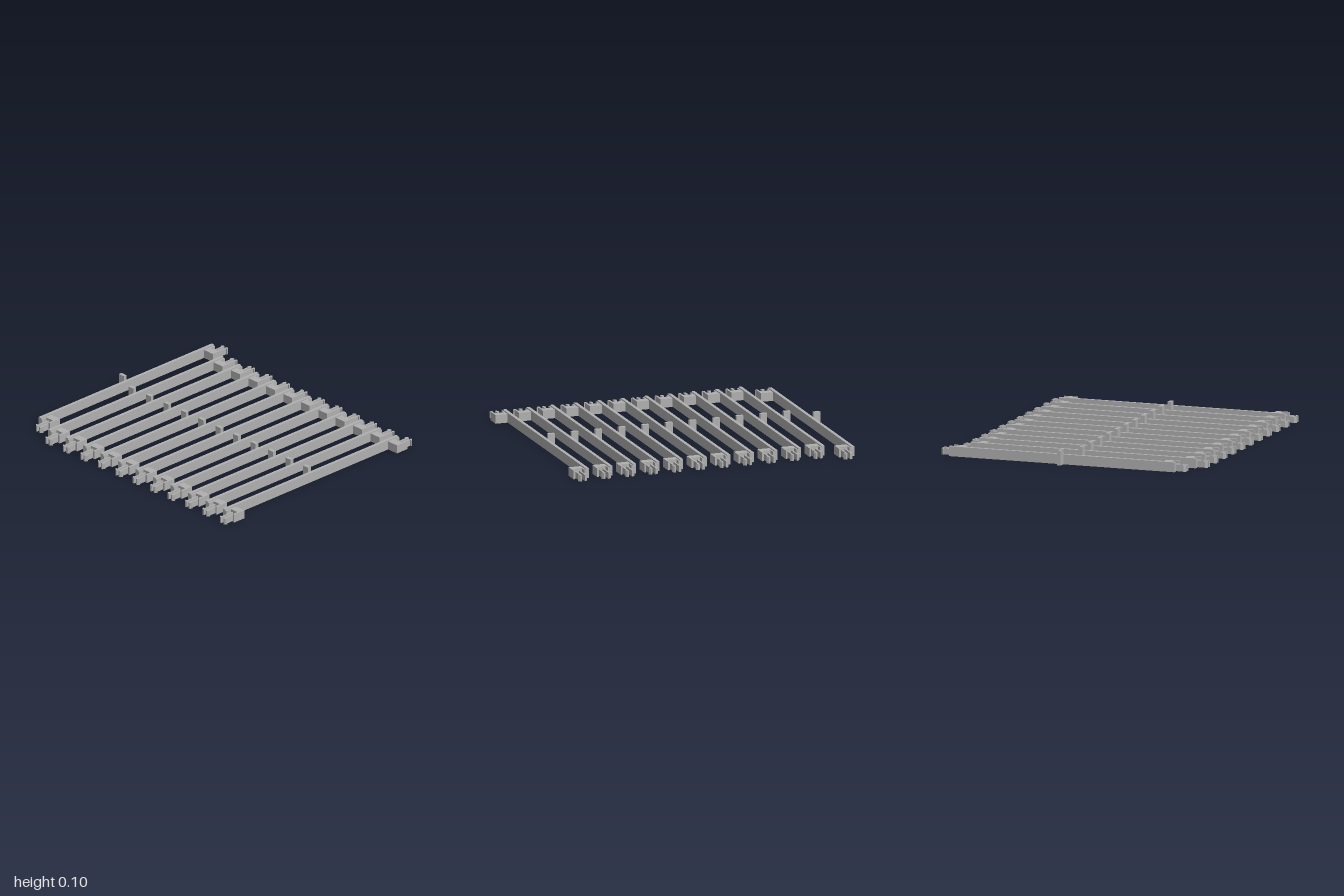
import * as THREE from 'three';

const grey = new THREE.MeshStandardMaterial({ color: 0xb0b0b0 });
grey.name = 'plain grey';

const RAIL_W = 0.023, RAIL_H = 0.067;
const LONG = 0.842, SHORT = 0.757;   // rail reach on either side of z = 0
const PITCH = 0.1665, LAST_X = 0.892;

function box(name, x0, x1, y0, y1, z0, z1) {
  const mesh = new THREE.Mesh(new THREE.BoxGeometry(x1 - x0, y1 - y0, z1 - z0), grey);
  mesh.position.set((x0 + x1) / 2, (y0 + y1) / 2, (z0 + z1) / 2);
  mesh.name = name;
  return mesh;
}

// Upright prism from a plan outline of [x, z] points
function prism(name, points, height) {
  const shape = new THREE.Shape(points.map(([x, z]) => new THREE.Vector2(x, -z)));
  const geometry = new THREE.ExtrudeGeometry(shape, { depth: height, bevelEnabled: false });
  geometry.rotateX(-Math.PI / 2);
  const mesh = new THREE.Mesh(geometry, grey);
  mesh.name = name;
  return mesh;
}

// U-shaped socket block with a two-pronged snap clip; side is +1 front, -1 back
function railEnd(reach, side) {
  const end = new THREE.Group();
  end.name = side > 0 ? 'frontEnd' : 'backEnd';
  const place = ([x, out]) => [x, side * (reach + out)];

  end.add(prism('socketBlock', [
    [RAIL_W, -0.095], [0.108, -0.095], [0.108, 0], [0.095, 0],
    [0.095, -0.043], [0.033, -0.043], [0.033, 0], [RAIL_W, 0],
  ].map(place), 0.059));

  for (const s of [-1, 1]) {
    // Prong with an outward barb near its tip
    end.add(prism('clipProng', [
      [0.010, -0.043], [0.021, -0.043], [0.021, 0.049], [0.032, 0.049],
      [0.032, 0.054], [0.021, 0.067], [0.010, 0.067],
    ].map(([x, out]) => place([0.064 + s * x, out])), 0.043));
  }
  return end;
}

function createSlat(mirrored) {
  const slat = new THREE.Group();
  slat.name = 'slat';
  const front = mirrored ? SHORT : LONG;
  const back = mirrored ? LONG : SHORT;
  const middle = (front - back) / 2;
  slat.add(
    box('rail', 0, RAIL_W, 0, RAIL_H, -back, front),
    box('tab', -0.048, 0, 0, 0.1, middle - 0.0125, middle + 0.0125),
    railEnd(front, 1),
    railEnd(back, -1),
  );
  return slat;
}

export function createModel() {
  const model = new THREE.Group();
  model.name = 'slatSet';

  // Eleven matching slats in an even row
  for (let i = 0; i < 11; i++) {
    const slat = createSlat(false);
    slat.position.x = LAST_X - i * PITCH;
    model.add(slat);
  }

  // One slat flipped front to back at the left edge of the row
  const flipped = createSlat(true);
  flipped.name = 'flippedSlat';
  flipped.position.x = -0.952;
  model.add(flipped);
  return model;
}
